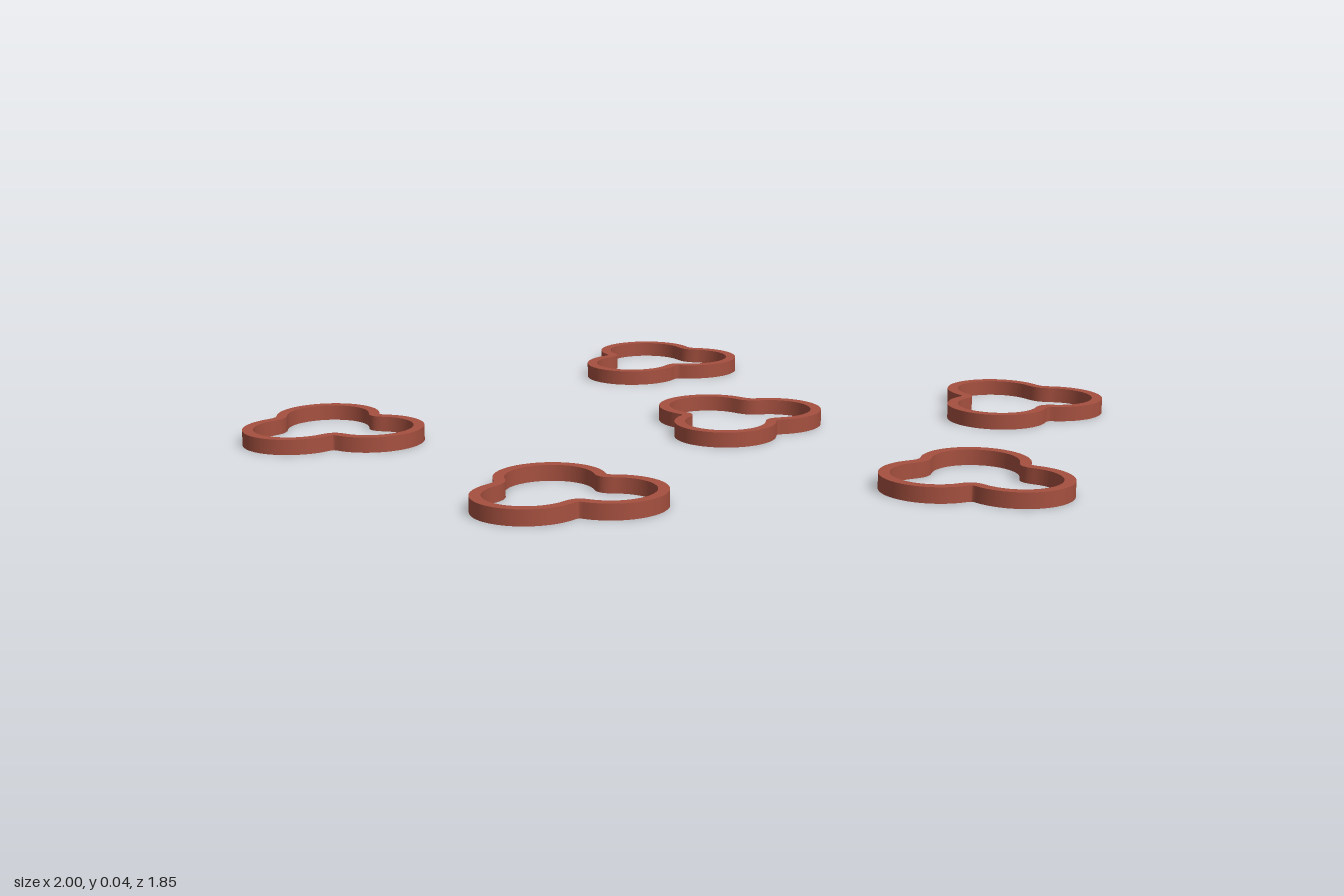
import * as THREE from 'three';
import { mergeGeometries } from 'three/addons/utils/BufferGeometryUtils.js';

const HEIGHT = 0.037;
const WALL = 0.026;
const STEPS = 180;
const BLEND = 0.05; // softness of the notches between lobes
// lobe circles of one ring: centre x, centre z, outer radius
const LOBES = [[0.102, -0.001, 0.125], [-0.063, 0.085, 0.126], [-0.063, -0.076, 0.126]];
// rings: centre x, centre z, turn in degrees from +x towards +z
const RINGS = [
  [-0.32, -0.715, 110], [0.73, -0.487, 107], [0.093, -0.102, 88],
  [-0.807, 0.303, 3], [0.781, 0.304, 24], [-0.051, 0.709, -4],
];

// larger of two values, rounded where they meet
function softMax(a, b) {
  const h = Math.max(BLEND - Math.abs(a - b), 0) / BLEND;
  return Math.max(a, b) + h * h * BLEND / 4;
}

// middle line of the wall around the three joined circles
function middleLine() {
  return Array.from({ length: STEPS }, (_, i) => {
    const a = (i / STEPS) * Math.PI * 2;
    const c = Math.cos(a), s = Math.sin(a);
    const reach = LOBES.map(([x, z, r]) =>
      x * c + z * s + Math.sqrt((r - WALL / 2) ** 2 - (z * c - x * s) ** 2)).reduce(softMax);
    return new THREE.Vector2(reach * c, reach * s);
  });
}

// the line moved sideways, positive is outwards
function offsetLine(line, distance) {
  return line.map((p, i) => {
    const t = line[(i + 1) % STEPS].clone().sub(line[(i + STEPS - 1) % STEPS]).normalize();
    return new THREE.Vector2(p.x + t.y * distance, p.y - t.x * distance);
  });
}

// closed strip of faces between two loops at given heights
function strip(lineA, yA, lineB, yB) {
  const positions = [], index = [];
  for (let i = 0; i < STEPS; i++) {
    positions.push(lineA[i].x, yA, lineA[i].y, lineB[i].x, yB, lineB[i].y);
    const a = 2 * i, b = 2 * ((i + 1) % STEPS);
    index.push(a, a + 1, b, b, a + 1, b + 1);
  }
  const geometry = new THREE.BufferGeometry();
  geometry.setAttribute('position', new THREE.Float32BufferAttribute(positions, 3));
  geometry.setIndex(index);
  geometry.computeVertexNormals();
  return geometry;
}

export function createModel() {
  const model = new THREE.Group();
  model.name = 'trefoilRings';
  const material = new THREE.MeshStandardMaterial({ color: 0xa5503f, side: THREE.DoubleSide });

  // channel section, open underneath: outer wall, top, inner wall
  const line = middleLine();
  const outer = offsetLine(line, WALL / 2);
  const inner = offsetLine(line, -WALL / 2);
  const band = mergeGeometries([
    strip(outer, 0, outer, HEIGHT),
    strip(outer, HEIGHT, inner, HEIGHT),
    strip(inner, HEIGHT, inner, 0),
  ]);

  // scattered copies
  RINGS.forEach(([x, z, turn], i) => {
    const ring = new THREE.Mesh(band, material);
    ring.name = `trefoilRing${i + 1}`;
    ring.position.set(x, 0, z);
    ring.rotation.y = -THREE.MathUtils.degToRad(turn);
    model.add(ring);
  });
  return model;
}
